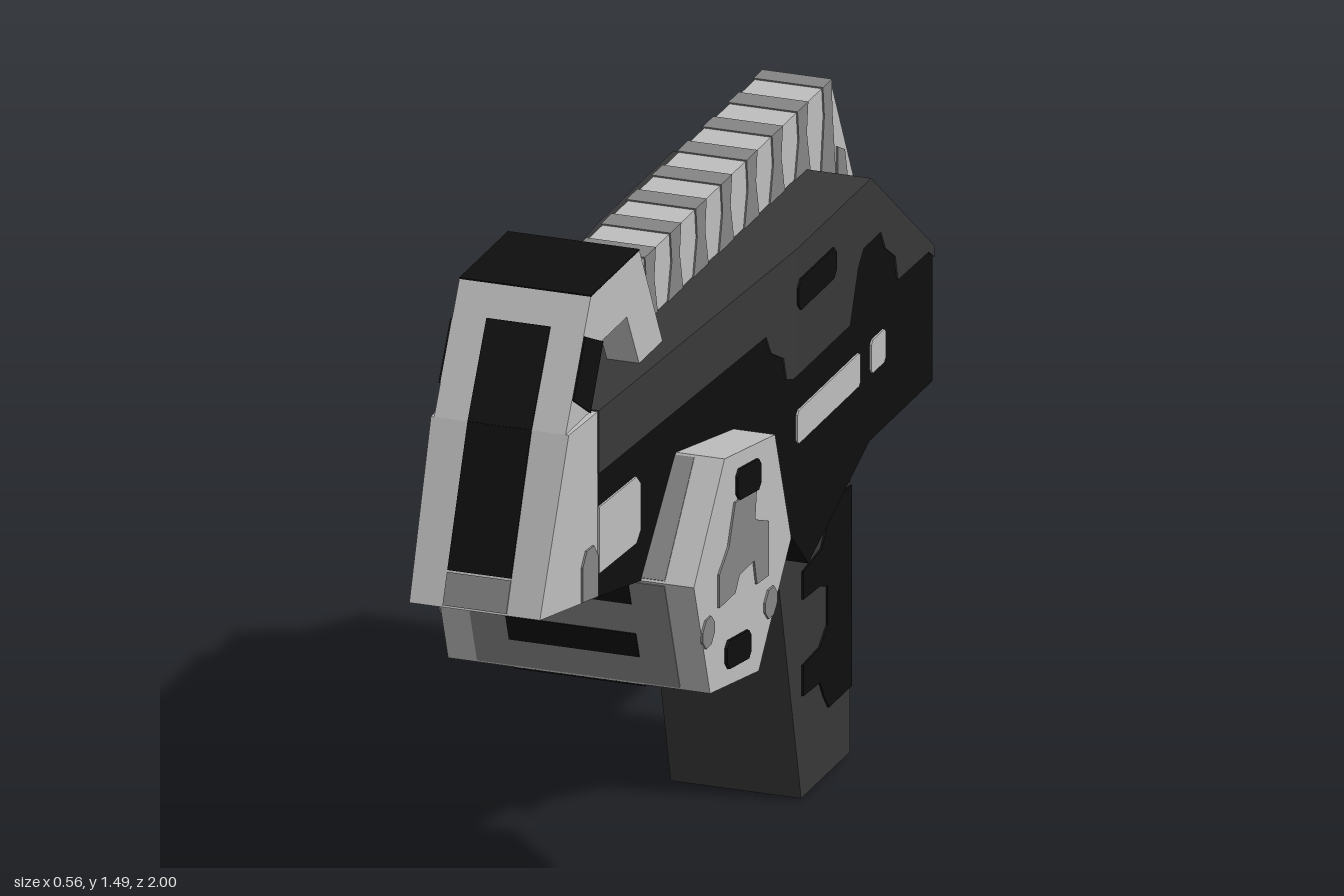
import * as THREE from 'three';

const material = (name, color) => {
  const m = new THREE.MeshStandardMaterial({ color });
  m.name = name;
  return m;
};

export function createModel() {
  const light = material('lightGrey', 0xbebebe);
  const mid = material('midGrey', 0x858585);
  const dark = material('darkGrey', 0x383838);
  const black = material('black', 0x0e0e0e);
  const model = new THREE.Group();

  // half width of the tapered body at a given z
  const bodyW = (z) => 0.205 - 0.068 * Math.max(0, (z + 0.24) / 1.24);
  const asFn = (w) => (typeof w === 'function' ? w : () => w);

  // extrude a [z, y] outline; place(c, z) gives x for depth c in 0..1
  function extrude(name, pts, mat, place) {
    const shape = new THREE.Shape(pts.map(([z, y]) => new THREE.Vector2(z, y)));
    const geo = new THREE.ExtrudeGeometry(shape, { depth: 1, bevelEnabled: false });
    const p = geo.attributes.position;
    for (let i = 0; i < p.count; i++) {
      const z = p.getX(i);
      p.setXYZ(i, place(p.getZ(i), z), p.getY(i), z);
    }
    geo.computeVertexNormals();
    const mesh = new THREE.Mesh(geo, mat);
    mesh.name = name;
    model.add(mesh);
  }
  // solid across the full width
  const prism = (name, pts, mat, w) =>
    extrude(name, pts, mat, (c, z) => (1 - 2 * c) * asFn(w)(z));
  // mirrored pair of slabs between two half widths
  function pair(name, pts, mat, inner, outer) {
    const a = asFn(inner), b = asFn(outer);
    extrude(name + 'Left', pts, mat, (c, z) => a(z) + (1 - c) * (b(z) - a(z)));
    extrude(name + 'Right', pts, mat, (c, z) => -(a(z) + c * (b(z) - a(z))));
  }
  // thin painted plates on both sides
  const paint = (name, pts, mat, w, h = 0.004) =>
    pair(name, pts, mat, (z) => asFn(w)(z) - 0.001, (z) => asFn(w)(z) + h);
  // thin plate on the outline edge p -> q (counter-clockwise), from t0 to t1
  function strip(name, p, q, t0, t1, mat, hw, h = 0.003) {
    const d = [q[0] - p[0], q[1] - p[1]], len = Math.hypot(...d);
    const n = [d[1] / len, -d[0] / len];
    const at = (t, o) => [p[0] + d[0] * t + n[0] * o, p[1] + d[1] * t + n[1] * o];
    prism(name, [at(t0, -0.001), at(t0, h), at(t1, h), at(t1, -0.001)], mat, hw);
  }
  // rectangle with cut corners, optionally sheared
  const slot = (z0, z1, y0, y1, shear = 0, c = 0.014) => [
    [z0 + c, y0], [z1 - c, y0], [z1, y0 + c], [z1, y1 - c],
    [z1 - c, y1], [z0 + c, y1], [z0, y1 - c], [z0, y0 + c],
  ].map(([z, y]) => [z, y + shear * (z - (z0 + z1) / 2)]);

  // body
  prism('frontBody', [[0.72, 1.24], [-0.24, 1.24], [-0.24, 0.6225], [-0.17, 0.69],
    [-0.02, 0.72], [0.51, 0.81], [0.72, 0.85]], black, bodyW);
  prism('rearBody', [[-0.24, 1.24], [-0.65, 1.24], [-1, 0.97], [-1, 0.69],
    [-0.65, 0.69], [-0.31, 0.555], [-0.24, 0.6225]], black, bodyW);
  const shellW = (z) => bodyW(z) + 0.003;
  prism('frontShell', [[0.72, 1.243], [-0.24, 1.243], [-0.24, 0.975], [-0.22, 0.975],
    [-0.19, 0.985], [-0.175, 1.035], [-0.115, 1.067], [-0.09, 1.11], [0.72, 1.11]], dark, shellW);
  prism('rearShell', [[-0.24, 1.243], [-0.651, 1.243], [-1.003, 0.973], [-1.003, 0.95],
    [-0.97, 0.972], [-0.8, 0.975], [-0.785, 1.03], [-0.73, 1.067], [-0.705, 1.11],
    [-0.61, 1.11], [-0.58, 1.08], [-0.535, 0.975], [-0.24, 0.975]], dark, shellW);
  paint('upperSlot', slot(-0.45, -0.24, 1.11, 1.175), black, bodyW, 0.007);
  paint('longSlot', slot(-0.59, -0.24, 0.83, 0.9, 0, 0.008), light, bodyW);
  paint('squareSlot', slot(-0.73, -0.65, 0.83, 0.9, 0, 0.008), light, bodyW);

  // muzzle
  prism('muzzle', [[1, 0.9], [0.86, 1.24], [0.72, 1.24], [0.72, 0.85]], light, bodyW);
  paint('muzzlePatch', [[0.72, 0.9], [0.72, 1.04], [0.54, 1.04], [0.52, 1.02],
    [0.52, 0.92], [0.54, 0.9]], light, bodyW);
  paint('muzzleSpot', [[0.8, 0.867], [0.8, 0.94], [0.78, 0.968], [0.745, 0.968],
    [0.725, 0.94], [0.725, 0.854]], mid, bodyW);

  // raised sight with open window
  prism('sightFrame', [[0.86, 1.24], [0.72, 1.48], [0.45, 1.48], [0.52, 1.365],
    [0.66, 1.365], [0.73, 1.24]], light, 0.138);
  pair('sightLeg', [[0.45, 1.48], [0.32, 1.24], [0.45, 1.24], [0.52, 1.365]], light, 0.07, 0.138);
  paint('sightPostPaint', [[0.76, 1.411], [0.66, 1.365], [0.73, 1.24], [0.825, 1.3]], black, 0.138);
  strip('sightTop', [0.72, 1.48], [0.45, 1.48], 0, 1, black, 0.138);
  const nose = [[1, 0.9], [0.86, 1.24], [0.72, 1.48]];
  strip('nosePatch', nose[0], nose[1], 0.01, 0.19, mid, 0.067);
  strip('noseSlotLower', nose[0], nose[1], 0.2, 1, black, 0.067);
  strip('noseSlotUpper', nose[1], nose[2], 0, 0.75, black, 0.067);

  // top rail with wavy stripes
  prism('rail', [[0.4, 1.38], [-0.79, 1.38], [-1, 0.97], [-0.6, 1.2], [0.3, 1.2]], light, 0.07);
  for (let i = 0; i < 8; i++) {
    const z = 0.217 - i * 0.141;
    const y0 = i === 7 ? 1.16 : 1.23;
    const back = i === 7 ? 0.02 : 0.03;
    prism('railStripe', [[z + 0.03, 1.383], [z - back, 1.383], [z - 0.022, 1.32],
      [z - 0.044, y0], [z + 0.044, y0], [z + 0.022, 1.32]], mid, 0.073);
  }
  prism('railFrontStripe', [[0.402, 1.383], [0.31, 1.383], [0.29, 1.3], [0.27, 1.23],
    [0.305, 1.23]], mid, 0.073);
  paint('railRearSpot', [[-0.82, 1.23], [-0.86, 1.21], [-0.88, 1.13], [-0.92, 1.1],
    [-0.93, 1.07], [-0.86, 1.09], [-0.82, 1.14]], mid, 0.07);

  // six-sided drum through the body
  const hex = [[0.51, 0.81], [0.34, 1.02], [0.06, 0.97], [-0.03, 0.72], [0.15, 0.505], [0.42, 0.555]];
  prism('drum', hex, light, 0.275);
  hex.forEach((p, i) => {
    if (i === 1) return;
    const q = hex[(i + 1) % 6];
    strip('drumBand', p, q, 0.02, 0.98, mid, 0.213, 0.002);
    strip('drumBar', p, q, 0.27, 0.49, black, 0.137, 0.004);
    strip('drumBar', p, q, 0.77, 0.99, black, 0.137, 0.004);
  });
  paint('drumUpperSlot', slot(0.15, 0.28, 0.9, 0.965, 0.15), black, 0.275, 0.006);
  paint('drumLowerSlot', slot(0.205, 0.34, 0.565, 0.625, 0.15), black, 0.275, 0.006);
  paint('drumPatch', [[0.29, 0.91], [0.17, 0.9], [0.18, 0.835], [0.105, 0.805], [0.105, 0.69],
    [0.17, 0.695], [0.185, 0.75], [0.265, 0.75], [0.29, 0.72], [0.378, 0.72],
    [0.378, 0.79], [0.325, 0.83]], mid, 0.275);
  for (const [z, y] of [[0.437, 0.69], [0.09, 0.628]]) {
    paint('drumSpot', slot(z - 0.034, z + 0.034, y - 0.03, y + 0.03, 0, 0.02), mid, 0.275);
  }

  // trigger block
  prism('trigger', [[-0.17, 0.75], [-0.34, 0.75], [-0.34, 0.485], [-0.17, 0.485]], light, 0.07);
  paint('triggerPatch', [[-0.17, 0.74], [-0.25, 0.74], [-0.22, 0.63], [-0.17, 0.62]], mid, 0.07);

  // grip
  prism('grip', [[-0.31, 0.555], [-0.31, 0.65], [-0.72, 0.7], [-0.72, 0], [-0.45, 0]], dark, 0.137);
  paint('gripPanel', [[-0.595, 0.563], [-0.72, 0.563], [-0.72, 0.14], [-0.595, 0.14],
    [-0.57, 0.17], [-0.545, 0.21], [-0.453, 0.215], [-0.453, 0.28], [-0.545, 0.284],
    [-0.587, 0.316], [-0.587, 0.397], [-0.545, 0.413], [-0.453, 0.418], [-0.453, 0.477],
    [-0.555, 0.488], [-0.587, 0.53]], black, 0.137);
  strip('gripBack', [-0.72, 0.563], [-0.72, 0.14], 0, 1, black, 0.137);
  strip('gripBackInset', [-0.72, 0.45], [-0.72, 0.25], 0, 1, dark, 0.065, 0.005);
  strip('gripBase', [-0.72, 0], [-0.45, 0], 0.25, 0.75, black, 0.06);

  return model;
}
